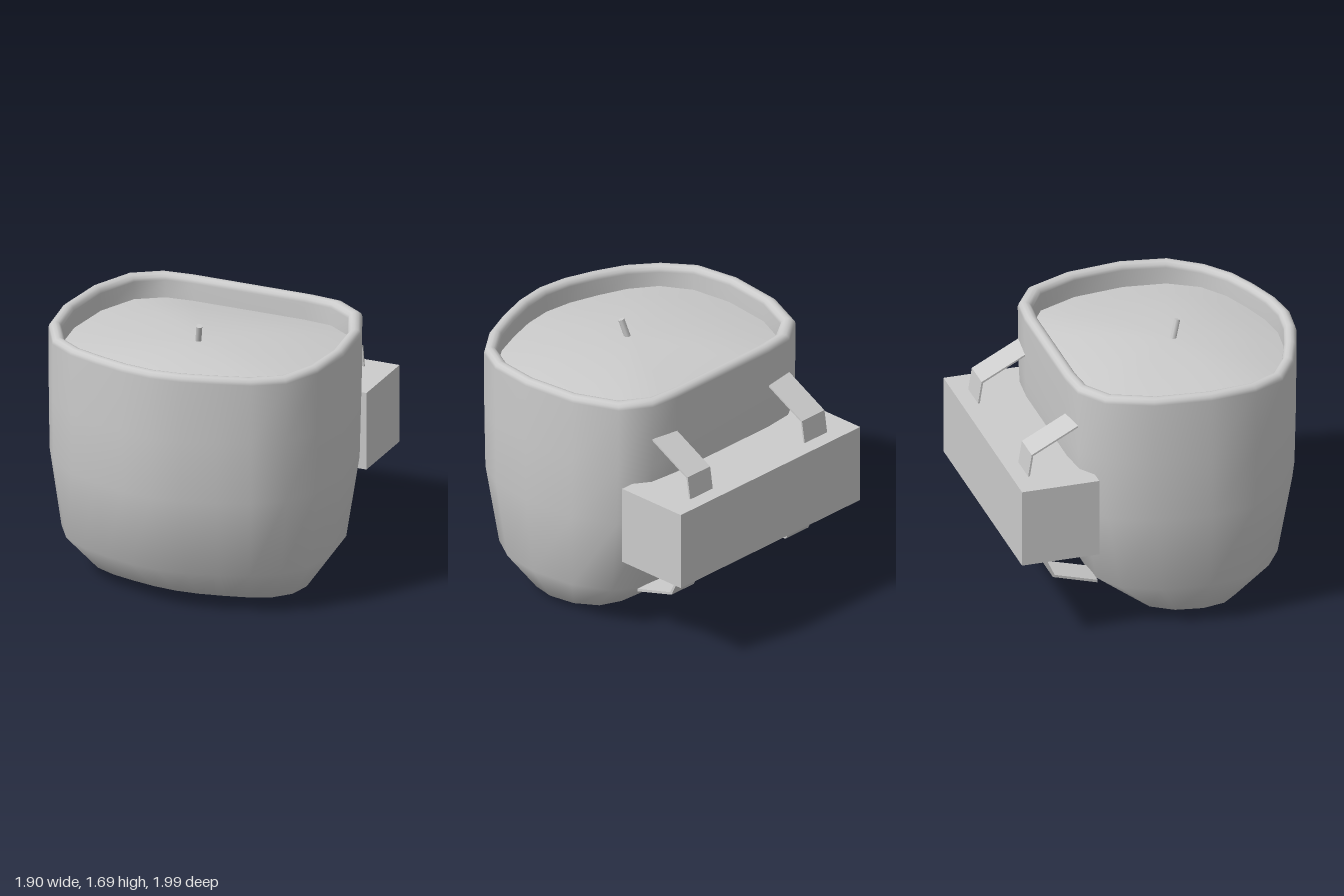
import * as THREE from 'three';
import { mergeVertices } from 'three/addons/utils/BufferGeometryUtils.js';

const material = new THREE.MeshStandardMaterial({ color: 0xcccccc, side: THREE.DoubleSide });

// Half of the vessel's plan at the rim, front to back; mirrored below.
const HALF = [[0, 0.99], [0.2, 0.965], [0.41, 0.9], [0.61, 0.82], [0.79, 0.69], [0.91, 0.48],
  [0.95, 0.18], [0.91, -0.18], [0.79, -0.46], [0.61, -0.58], [0.41, -0.6], [0, -0.6]];
const PLAN = [...HALF, ...HALF.slice(1, -1).reverse().map(([x, z]) => [-x, z])]
  .map(([x, z]) => [x / 0.95, (z - 0.195) / 0.795]);

// Skins scaled copies of the plan; each ring is [y, half width, half depth, centre z, wave].
function skin(rings) {
  const n = PLAN.length, pos = [], index = [];
  for (const [y, hx, hz, cz, wave = 0] of rings) {
    for (const [u, v] of PLAN) {
      const z = cz + v * hz;
      pos.push(u * hx, y - wave * Math.exp(-(((v - 0.64) / 0.25) ** 2)), z);
    }
  }
  for (let j = 0; j < rings.length - 1; j++) {
    for (let i = 0; i < n; i++) {
      const k = (i + 1) % n, a = j * n, b = a + n;
      index.push(a + i, a + k, b + k, a + i, b + k, b + i);
    }
  }
  let geo = new THREE.BufferGeometry();
  geo.setAttribute('position', new THREE.Float32BufferAttribute(pos, 3));
  geo.setIndex(index);
  geo = mergeVertices(geo, 1e-4);
  geo.computeVertexNormals();
  return geo;
}

function add(parent, name, geometry) {
  const mesh = new THREE.Mesh(geometry, material);
  mesh.name = name;
  parent.add(mesh);
  return mesh;
}

export function createModel() {
  const model = new THREE.Group();
  model.name = 'vesselWithHandle';

  // Outer wall rising from a short bottom ridge, over the rounded rim, down the inner wall
  const rings = [
    [0, 0.48, 0, 0.21],
    [0.04, 0.71, 0.385, 0.21],
    [0.28, 0.875, 0.665, 0.205],
    [0.8, 0.943, 0.775, 0.2],
    [1.2, 0.948, 0.79, 0.196],
  ];
  for (let i = 0; i <= 6; i++) {
    const a = (i / 6) * Math.PI, inset = 0.04 * (1 - Math.cos(a));
    rings.push([1.605 + 0.04 * Math.sin(a), 0.95 - inset, 0.795 - inset, 0.195, 0.02]);
  }
  rings.push([1.46, 0.87, 0.715, 0.195]);
  add(model, 'vesselBody', skin(rings));

  // Gently domed filling
  const dome = [1, 0.8, 0.6, 0.4, 0.2, 0].map((s) =>
    [1.49 + 0.08 * (1 - s * s), 0.87 * s, 0.715 * s, 0.195]);
  add(model, 'filling', skin(dome));

  // Leaning stub in the filling
  const from = new THREE.Vector3(-0.012, 1.55, 0.225), to = new THREE.Vector3(0.012, 1.68, 0.262);
  const axis = to.clone().sub(from);
  const stub = add(model, 'wick', new THREE.CylinderGeometry(0.02, 0.02, axis.length(), 8));
  stub.position.copy(from).add(to).multiplyScalar(0.5);
  stub.quaternion.setFromUnitVectors(new THREE.Vector3(0, 1, 0), axis.normalize());

  // Block behind the vessel
  add(model, 'handleBlock', new THREE.BoxGeometry(1.6, 0.51, 0.5)).position.set(0, 0.825, -0.75);

  // Thin bent straps: outer edge down, inner edge back up, as [z, y]
  const outer = [[-0.57, 1.385], [-0.877, 1.225], [-0.905, 1.05], [-0.92, 0.8], [-0.84, 0.57], [-0.74, 0.355], [-0.45, 0.272]];
  const inner = [[-0.45, 0.29], [-0.728, 0.368], [-0.824, 0.57], [-0.905, 0.8], [-0.893, 1.05], [-0.867, 1.217], [-0.57, 1.373]];
  const shape = new THREE.Shape([...outer, ...inner].map(([z, y]) => new THREE.Vector2(-z, y)));
  const strap = new THREE.ExtrudeGeometry(shape, { depth: 0.2, bevelEnabled: false });
  strap.translate(0, 0, -0.1).rotateY(Math.PI / 2);
  for (const side of [1, -1]) {
    add(model, side > 0 ? 'leftStrap' : 'rightStrap', strap).position.x = side * 0.51;
  }
  return model;
}
